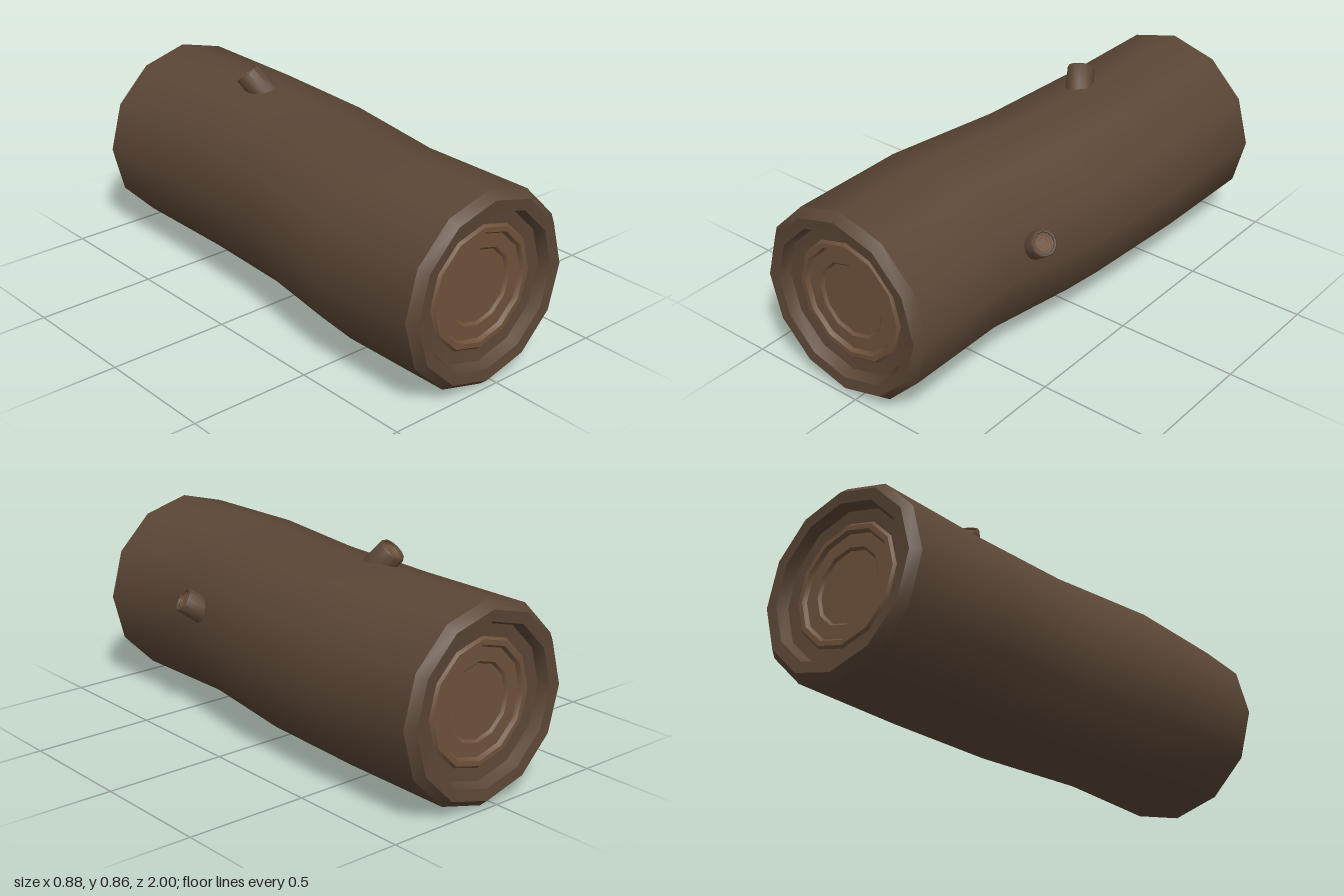
import * as THREE from 'three';
import { toCreasedNormals } from 'three/addons/utils/BufferGeometryUtils.js';

const SIDES = 12;
const bark = new THREE.MeshStandardMaterial({ color: 0x5b4636, roughness: 1 });
const wood = new THREE.MeshStandardMaterial({ color: 0x6e513b, roughness: 1 });

// Cut face, from the outer rim inwards: [radius, depth below the cut]
const rim = [[0.36, 0], [0.315, 0.005], [0.3, 0.05], [0.25, 0.055]];
const rings = [[0.25, 0.055], [0.24, 0.045], [0.22, 0.045], [0.21, 0.06],
  [0.155, 0.06], [0.145, 0.07], [0, 0.07]];

// Sideways bend of the trunk along its length: [z, x]
const bend = [[-1, 0.05], [-0.48, 0.047], [0, 0.023], [0.48, -0.055], [1, -0.05]];
function bendAt(z) {
  for (let i = 1; i < bend.length; i++) {
    const [z0, x0] = bend[i - 1], [z1, x1] = bend[i];
    if (z <= z1) return x0 + (x1 - x0) * (z - z0) / (z1 - z0);
  }
  return bend[bend.length - 1][1];
}

// Turned shape from [radius, height] pairs, lowest first
function turned(profile) {
  return new THREE.LatheGeometry(profile.map(([r, h]) => new THREE.Vector2(r, h)), SIDES);
}

function mesh(name, geometry, material) {
  const m = new THREE.Mesh(toCreasedNormals(geometry, 0.62), material);
  m.name = name;
  return m;
}

// Lay a turned shape along z and bend it with the trunk
function layDown(geometry) {
  geometry.rotateX(Math.PI / 2);
  const p = geometry.attributes.position;
  for (let i = 0; i < p.count; i++) {
    p.setXYZ(i, p.getX(i) + bendAt(p.getZ(i)), p.getY(i) + 0.39, p.getZ(i));
  }
  return geometry;
}

// Cut branch stub, its centre of cut at tip and pointing along dir
function stub(name, tip, dir, radius, length) {
  const k = radius / 0.39;
  const g = new THREE.Group();
  g.name = name;
  const cut = (list) => list.map(([r, d]) => [r * k, -d * k]);
  const side = [[radius * 1.12, -length], [radius * 1.02, -length * 0.5],
    [radius, -0.04 * k], ...cut(rim)];
  g.add(mesh(name + 'Bark', turned(side), bark));
  g.add(mesh(name + 'Rings', turned(cut(rings)), wood));
  g.position.set(...tip);
  g.quaternion.setFromUnitVectors(new THREE.Vector3(0, 1, 0),
    new THREE.Vector3(...dir).normalize());
  return g;
}

export function createModel() {
  const log = new THREE.Group();
  log.name = 'log';

  // Trunk: hollowed back rim, bevelled bark, hollowed front rim
  const back = rim.map(([r, d]) => [r, d - 1]).reverse();
  const front = rim.map(([r, d]) => [r, 1 - d]);
  const shell = [-0.965, -0.48, 0, 0.48, 0.965].map((z) => [0.39, z]);
  log.add(mesh('trunkBark', layDown(turned([...back, ...shell, ...front])), bark));

  // Growth rings at both ends
  log.add(mesh('frontRings', layDown(turned(rings.map(([r, d]) => [r, 1 - d]))), wood));
  log.add(mesh('backRings',
    layDown(turned(rings.map(([r, d]) => [r, d - 1]).reverse())), wood));

  // Two cut branches
  log.add(stub('topBranch', [-0.03, 0.824, -0.405], [-0.35, 0.75, -0.58], 0.055, 0.17));
  log.add(stub('sideBranch', [0.39, 0.53, 0.37], [0.75, 0.55, 0.3], 0.053, 0.15));
  return log;
}
